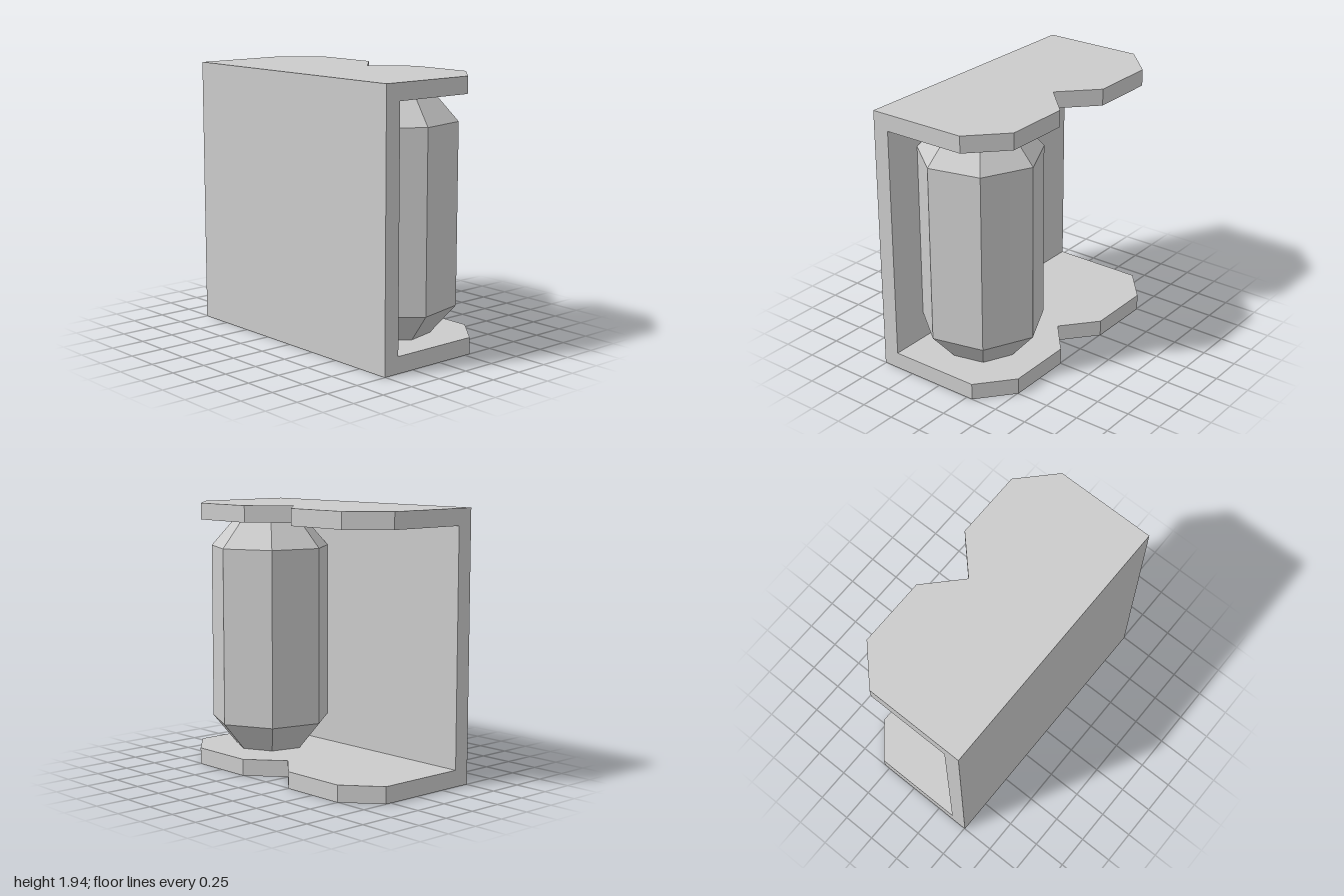
import * as THREE from 'three';

const WIDTH = 2, HEIGHT = 1.94, THICK = 0.12, FRONT = 0.505;
const INNER = FRONT - THICK;

export function createModel() {
  const group = new THREE.Group();
  const material = new THREE.MeshStandardMaterial({ color: 0xcccccc, flatShading: true });
  const add = (name, geometry, x, y, z) => {
    const mesh = new THREE.Mesh(geometry, material);
    mesh.name = name;
    mesh.position.set(x, y, z);
    group.add(mesh);
  };

  // Upright front panel
  add('frontPanel', new THREE.BoxGeometry(WIDTH, HEIGHT, THICK), 0, HEIGHT / 2, FRONT - THICK / 2);

  // Shelf with two chamfered lobes and a V notch between them
  const shelf = (name, y, back, notch) => {
    const shape = new THREE.Shape([
      [-1, -INNER], [1, -INNER], [1, -notch], [0.75, -back], [0.25, -back],
      [0, -notch], [-0.25, -back], [-0.75, -back], [-1, -notch],
    ].map(([x, v]) => new THREE.Vector2(x, v)));
    const geometry = new THREE.ExtrudeGeometry(shape, { depth: THICK, bevelEnabled: false });
    add(name, geometry.rotateX(-Math.PI / 2), 0, y, 0);
  };
  shelf('bottomShelf', 0, -0.505, -0.295);
  shelf('topShelf', HEIGHT - THICK, -0.475, -0.235);

  // Seven-sided canister with tapered ends, held between the shelves
  const profile = [[0, 0.12], [0.266, 0.12], [0.4445, 0.325], [0.4445, 1.617], [0.266, 1.82], [0, 1.82]]
    .map(([r, y]) => new THREE.Vector2(r, y));
  add('canister', new THREE.LatheGeometry(profile, 7, Math.PI), 0.52, 0, -0.012);

  return group;
}
